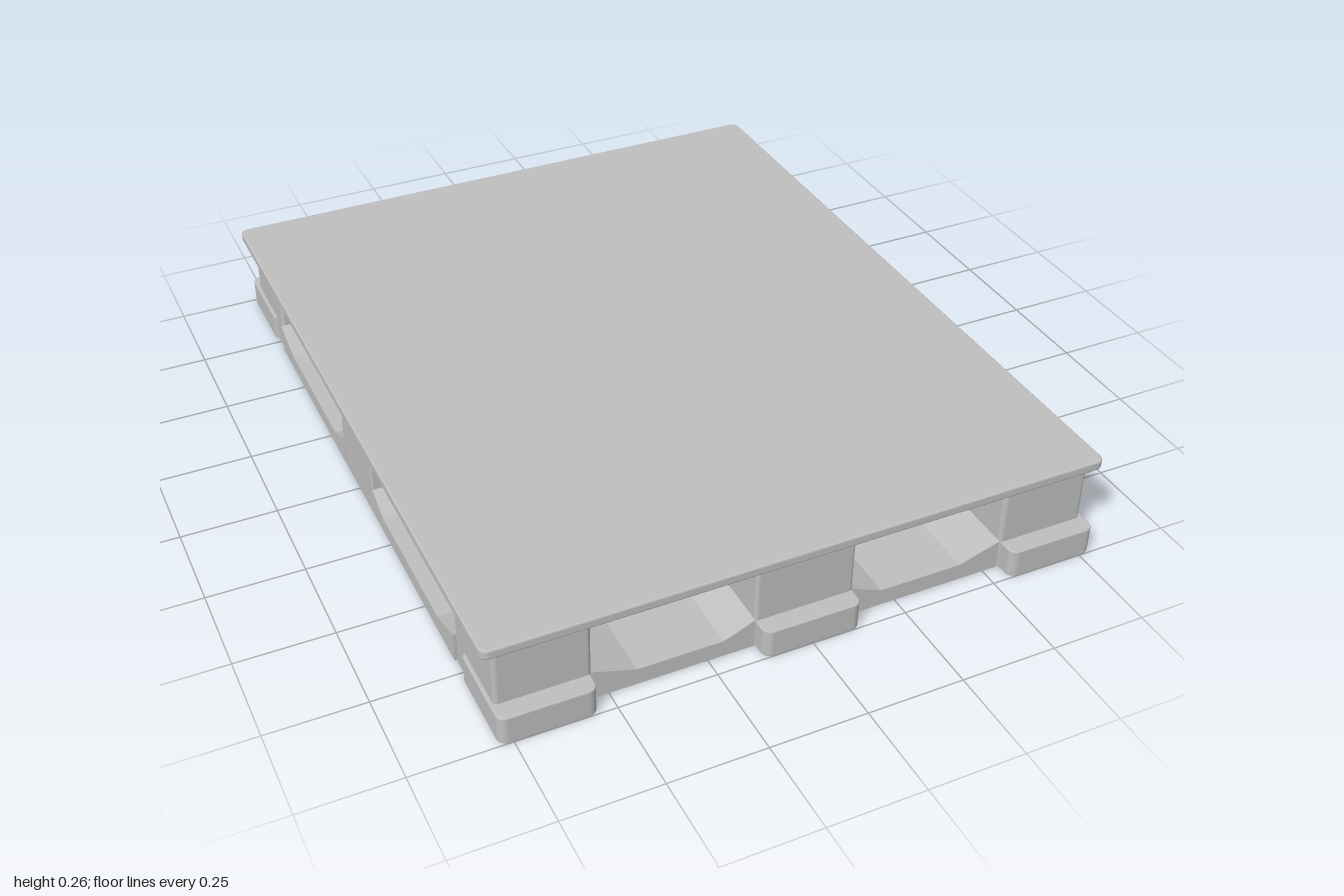
import * as THREE from 'three';

const grey = new THREE.MeshStandardMaterial({ color: 0xbfbfbf });
grey.name = 'plasticGrey';

const TOP = 0.236;                          // underside of the deck
const X = { inner: 0.13, outer: 0.54, edge: 0.78 };
const Z = { inner: 0.12, outer: 0.705, edge: 0.95 };

function addMesh(group, name, geometry) {
  const mesh = new THREE.Mesh(geometry, grey);
  mesh.name = name;
  group.add(mesh);
}

// Upright slab with rounded vertical corners and an optional edge bevel
function slab(x0, x1, z0, z1, y0, y1, radius, bevel = 0) {
  const w = (x1 - x0) / 2 - bevel, d = (z1 - z0) / 2 - bevel, r = radius;
  const s = new THREE.Shape();
  s.absarc(w - r, d - r, r, 0, Math.PI / 2);
  s.absarc(r - w, d - r, r, Math.PI / 2, Math.PI);
  s.absarc(r - w, r - d, r, Math.PI, Math.PI * 1.5);
  s.absarc(w - r, r - d, r, Math.PI * 1.5, Math.PI * 2);
  s.closePath();
  const g = new THREE.ExtrudeGeometry(s, {
    depth: y1 - y0 - 2 * bevel, curveSegments: 5,
    bevelEnabled: bevel > 0, bevelSize: bevel, bevelThickness: bevel, bevelSegments: 2,
  });
  g.rotateX(-Math.PI / 2);
  return g.translate((x0 + x1) / 2, y0 + bevel, (z0 + z1) / 2);
}

// Low bottom bar between two blocks, with its upper face dipping in the middle
function bar(a, b, sign, depth) {
  const points = [[a, 0], [b, 0], [b, 0.08], [b - 0.025, 0.072], [b - 0.11, 0.045],
    [a + 0.08, 0.045], [a + 0.02, 0.07], [a, 0.08]];
  const s = new THREE.Shape(points.map(([u, y]) => new THREE.Vector2(u * sign, y)));
  return new THREE.ExtrudeGeometry(s, { depth, bevelEnabled: false });
}

export function createModel() {
  const pallet = new THREE.Group();
  pallet.name = 'pallet';

  // Closed top deck
  addMesh(pallet, 'deck', slab(-0.806, 0.806, -0.973, 0.973, 0.235, 0.26, 0.018, 0.004));

  // Solid central cross, including the middle blocks of each side
  addMesh(pallet, 'lengthBeam', slab(-X.inner, X.inner, -Z.edge, Z.edge, 0, TOP, 0.01));
  addMesh(pallet, 'crossBeam', slab(-X.edge, X.edge, -Z.inner, Z.inner, 0, TOP, 0.006));

  for (const sz of [1, -1]) {
    const zSpan = (a, b) => (sz > 0 ? [a, b] : [-b, -a]);

    // Projecting feet along the short ends
    addMesh(pallet, 'middleFoot', slab(-0.128, 0.128, ...zSpan(0.85, 1), 0, 0.076, 0.02, 0.003));

    for (const sx of [1, -1]) {
      const xSpan = (a, b) => (sx > 0 ? [a, b] : [-b, -a]);
      addMesh(pallet, 'cornerBlock',
        slab(...xSpan(X.outer, 0.775), ...zSpan(Z.outer, Z.edge), 0, TOP, 0.012));
      addMesh(pallet, 'cornerFoot',
        slab(...xSpan(0.545, 0.784), ...zSpan(0.76, 1), 0, 0.076, 0.02, 0.003));

      // Bottom bars framing each window
      const end = bar(X.inner, X.outer, sx, Z.edge - Z.outer);
      end.translate(0, 0, zSpan(Z.outer, Z.edge)[0]);
      addMesh(pallet, 'endBar', end);

      const side = bar(Z.inner, Z.outer, sz, X.edge - X.outer);
      side.rotateY(-Math.PI / 2).translate(xSpan(X.outer, X.edge)[1], 0, 0);
      addMesh(pallet, 'sideBar', side);
    }
  }
  return pallet;
}
